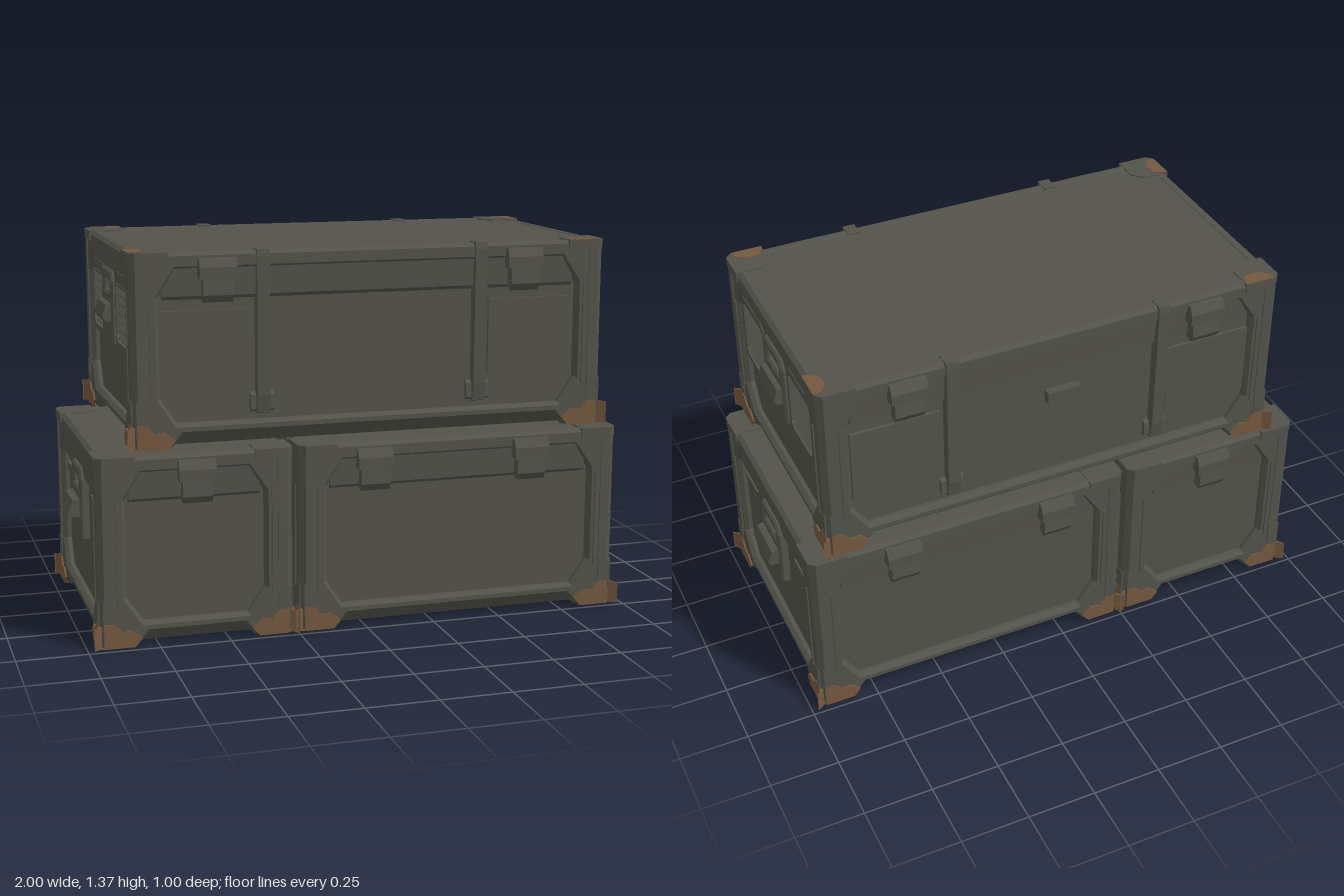
import * as THREE from 'three';

const paint = new THREE.MeshStandardMaterial({ color: 0x53534b });
paint.name = 'olive grey paint';
const rust = new THREE.MeshStandardMaterial({ color: 0x74583f });
rust.name = 'worn brown edges';

const DEPTH = 0.94;
const RECESS = 0.03;

function add(parent, name, geo, x = 0, y = 0, z = 0, mat = paint) {
  const mesh = new THREE.Mesh(geo, mat);
  mesh.name = name;
  mesh.position.set(x, y, z);
  parent.add(mesh);
  return mesh;
}
const box = (w, h, d) => new THREE.BoxGeometry(w, h, d);
const shapeOf = (pts) => new THREE.Shape(pts.map(([x, y]) => new THREE.Vector2(x, y)));
const slab = (pts, depth) => new THREE.ExtrudeGeometry(shapeOf(pts), { depth, bevelEnabled: false });

// Prism with a (outward, up) profile, running along the face
function prism(profile, width) {
  return slab(profile, width).rotateY(-Math.PI / 2).translate(width / 2, 0, 0);
}

// Octagonal opening: half-width a, from y0 to y1, corner cuts cx by cy
function octagon(a, y0, y1, cx, cy) {
  return [[-a + cx, y0], [a - cx, y0], [a, y0 + cy], [a, y1 - cy],
    [a - cx, y1], [-a + cx, y1], [-a, y1 - cy], [-a, y0 + cy]];
}

// Raised side frame with feet at both ends and a bevelled opening
function frameGeometry(w, h) {
  const a = w / 2;
  const shape = shapeOf([[-a, 0], [-a + 0.12, 0], [-a + 0.16, 0.045], [a - 0.16, 0.045],
    [a - 0.12, 0], [a, 0], [a, h], [-a, h]]);
  shape.holes.push(shapeOf(octagon(a - 0.082, 0.085, h - 0.06, 0.06, 0.09)));
  return new THREE.ExtrudeGeometry(shape, {
    depth: 0.02, bevelEnabled: true, bevelSegments: 1, bevelThickness: 0.015, bevelSize: 0.012, bevelOffset: -0.012,
  });
}

// Corner post, cap and worn foot; outward directions are +x and +z
function corner(h, topWear) {
  const g = new THREE.Group();
  g.name = 'corner';
  const p = 0.004, c = 0.016;
  const post = slab([[-0.05, -0.05], [p, -0.05], [p, -c], [-c, p], [-0.05, p]].map(([x, z]) => [x, -z]), h - 0.01)
    .rotateX(-Math.PI / 2);
  add(g, 'cornerPost', post, 0, 0.005, 0);
  const cap = slab([[-0.13, -0.09], [-0.09, -0.13], [0.007, -0.13], [0.007, -0.016], [-0.016, 0.007], [-0.13, 0.007]]
    .map(([x, z]) => [x, -z]), 0.035).rotateX(-Math.PI / 2);
  add(g, 'cornerCap', cap, 0, h - 0.033, 0);
  const gusset = [[0.01, 0.05], [0.05, 0.12], [0.05, 0.17], [0.01, 0.17]];
  add(g, 'postGusset', slab(gusset.map(([x, y]) => [-x, y]), 0.006), 0, 0, 0);
  add(g, 'postGusset', slab(gusset, 0.006).rotateY(Math.PI / 2), 0, 0, 0);
  // worn paint on both outer faces and underneath
  const wear = [[0.012, 0], [0.12, 0], [0.145, 0.03], [0.11, 0.06], [0.075, 0.055], [0.05, 0.085], [0.012, 0.09]];
  add(g, 'footWear', slab(wear.map(([x, y]) => [-x, y]), 0.006), 0, 0, 0.001, rust);
  add(g, 'footWear', slab(wear, 0.006).rotateY(Math.PI / 2), 0.001, 0, 0, rust);
  const edge = slab([[0.007, 0.014], [0.014, 0.007], [-0.015, -0.012], [-0.012, -0.015]].map(([x, z]) => [x - 0.009, z - 0.009]), 0.08);
  add(g, 'footEdgeWear', edge.rotateX(-Math.PI / 2).rotateY(Math.PI / 2), 0, 0.002, 0, rust);
  add(g, 'footSole', box(0.11, 0.006, 0.035), -0.06, 0.001, -0.02, rust);
  add(g, 'footSole', box(0.035, 0.006, 0.11), -0.02, 0.001, -0.06, rust);
  if (topWear) {
    add(g, 'capWear', slab([[-0.13, 0.005], [-0.11, 0.045], [-0.06, 0.05], [-0.02, 0.02], [-0.02, -0.006], [-0.13, -0.006]], 0.004)
      .rotateX(-Math.PI / 2), 0, h, 0, rust);
  }
  return g;
}

// Latch hooked over the lid edge
function latch(parent, x, h) {
  const g = new THREE.Group();
  g.name = 'latch';
  g.position.set(x, h - 0.02, 0);
  parent.add(g);
  add(g, 'latchHook', prism([[-0.03, 0], [0.018, 0], [0.032, -0.03], [0.032, -0.07], [-0.03, -0.07]], 0.13));
  add(g, 'latchLever', prism([[-0.03, -0.06], [0.024, -0.06], [0.028, -0.125], [0.012, -0.15], [-0.03, -0.135]], 0.105));
}

// Recessed carrying handle on a mounting plate
function handle(parent, y, reach) {
  const g = new THREE.Group();
  g.name = 'handle';
  g.position.y = y;
  parent.add(g);
  const plate = shapeOf([[-0.1, 0], [0.1, 0], [0.1, 0.22], [0.08, 0.26], [-0.08, 0.26], [-0.1, 0.22]]);
  plate.holes.push(shapeOf([[-0.065, 0.18], [0.065, 0.18], [0.065, 0.22], [-0.065, 0.22]]));
  add(g, 'handlePlate', new THREE.ExtrudeGeometry(plate, {
    depth: 0.025, bevelEnabled: true, bevelSegments: 1, bevelSize: 0.008, bevelThickness: 0.008, bevelOffset: -0.008,
  }), 0, 0, -RECESS);
  add(g, 'handleGrip', prism([[-0.01, 0.08], [reach - 0.01, 0.08], [reach, 0.1], [reach * 0.6, 0.14], [-0.01, 0.15]], 0.17));
}

// Louvred vent: bevelled surround with tilted slats
function vent(parent, x, y) {
  const g = new THREE.Group();
  g.name = 'vent';
  g.position.set(x, y, -RECESS);
  parent.add(g);
  const surround = shapeOf(octagon(0.122, 0, 0.265, 0.025, 0.025));
  surround.holes.push(shapeOf(octagon(0.105, 0.018, 0.245, 0.02, 0.02)));
  add(g, 'ventSurround', new THREE.ExtrudeGeometry(surround, { depth: 0.022, bevelEnabled: false }));
  for (let i = 0; i < 7; i++) {
    add(g, 'ventSlat', box(0.205, 0.006, 0.03), 0, 0.035 + i * 0.032, 0.006).rotation.x = 0.6;
  }
}

// One crate; returns its group and four face groups (front, +x, back, -x)
function crate(name, x0, x1, y0, h, topWear) {
  const w = x1 - x0, d = DEPTH;
  const g = new THREE.Group();
  g.name = name;
  g.position.set((x0 + x1) / 2, y0, 0);
  add(g, 'crateBody', box(w - 2 * RECESS, h - 0.056, d - 2 * RECESS), 0, (h + 0.044) / 2, 0);
  add(g, 'lidTop', box(w - 0.04, 0.03, d - 0.04), 0, h - 0.018, 0);
  // base tapering inward to the floor
  const base = box(w - 0.03, 0.055, d - 0.03);
  const pos = base.attributes.position;
  for (let i = 0; i < pos.count; i++) {
    if (pos.getY(i) < 0) {
      pos.setX(i, pos.getX(i) - Math.sign(pos.getX(i)) * 0.04);
      pos.setZ(i, pos.getZ(i) - Math.sign(pos.getZ(i)) * 0.04);
    }
  }
  base.computeVertexNormals();
  add(g, 'crateBase', base, 0, 0.0325, 0);

  const faces = [];
  for (let k = 0; k < 4; k++) {
    const along = k % 2 ? d : w, out = (k % 2 ? w : d) / 2;
    const face = new THREE.Group();
    face.name = ['frontFace', 'leftFace', 'backFace', 'rightFace'][k];
    face.rotation.y = k * Math.PI / 2;
    face.position.set([0, out, 0, -out][k], 0, [out, 0, -out, 0][k]);
    g.add(face);
    faces.push(face);
    add(face, 'sideFrame', frameGeometry(along - 0.026, h), 0, 0, -0.035);
    add(face, 'lidBand', prism([[-0.04, 0.12], [-0.008, 0.12], [-0.014, 0.02], [-0.04, 0]], along - 0.22), 0, h - 0.17, 0);
    for (const s of [-1, 1]) {
      add(face, 'postRib', box(0.012, h * 0.55, 0.01), s * (along / 2 - 0.066), h * 0.5, 0.001);
    }
    const c = corner(h, topWear);
    c.rotation.y = k * Math.PI / 2;
    c.position.set(k < 2 ? w / 2 : -w / 2, 0, k % 3 ? -d / 2 : d / 2);
    g.add(c);
  }
  return { g, faces, cx: (x0 + x1) / 2 };
}

export function createModel() {
  const model = new THREE.Group();
  model.name = 'stackedCrates';
  const small = crate('smallCrate', -0.955, -0.272, 0.005, 0.67, false);
  const large = crate('largeCrate', -0.238, 0.955, 0.005, 0.67, false);
  const upper = crate('upperCrate', -0.825, 0.885, 0.695, 0.67, true);
  model.add(small.g, large.g, upper.g);

  // latches on front and back
  for (const [c, xs] of [[small, [-0.61]], [large, [0.03, 0.62]], [upper, [-0.53, 0.58]]]) {
    for (const x of xs) {
      latch(c.faces[0], x - c.cx, 0.67);
      latch(c.faces[2], c.cx - x, 0.67);
    }
  }

  // straps and raised panels on the upper crate
  for (const [k, s] of [[0, 1], [2, -1]]) {
    const face = upper.faces[k];
    for (const x of [-0.37, 0.42]) {
      const strap = [[-0.05, 0.674], [0.008, 0.674], [0.012, 0.65], [0.006, 0.17], [-0.004, 0.11], [-0.04, 0.1]];
      add(face, 'strap', prism(strap, 0.045), s * (x - upper.cx), 0, 0);
      add(face, 'strapFoot', prism([[-0.03, 0.18], [-0.015, 0.17], [-0.012, 0.12], [-0.03, 0.11]], 0.085), s * (x - upper.cx), 0, 0);
    }
    for (const x of [-0.57, 0.62]) {
      add(face, 'sidePanel', box(0.32, 0.27, 0.012), s * (x - upper.cx), 0.335, -RECESS + 0.005);
    }
  }
  add(upper.faces[2], 'labelPlate', box(0.13, 0.045, 0.03), 0.03, 0.41, -0.015);

  // handles, vents and grip slots on the end faces
  for (const k of [1, 3]) {
    const end = upper.faces[k];
    handle(end, 0.31, 0.034);
    for (const s of [-1, 1]) vent(end, s * 0.24, 0.31);
  }
  for (const end of [large.faces[1], small.faces[3]]) {
    handle(end, 0.295, 0.045);
    for (const s of [-1, 1]) {
      add(end, 'gripSlot', slab([[-0.075, 0.03], [0.075, 0.03], [0.05, 0], [-0.05, 0]], 0.012), s * 0.28, 0.455, -RECESS);
    }
  }
  return model;
}
